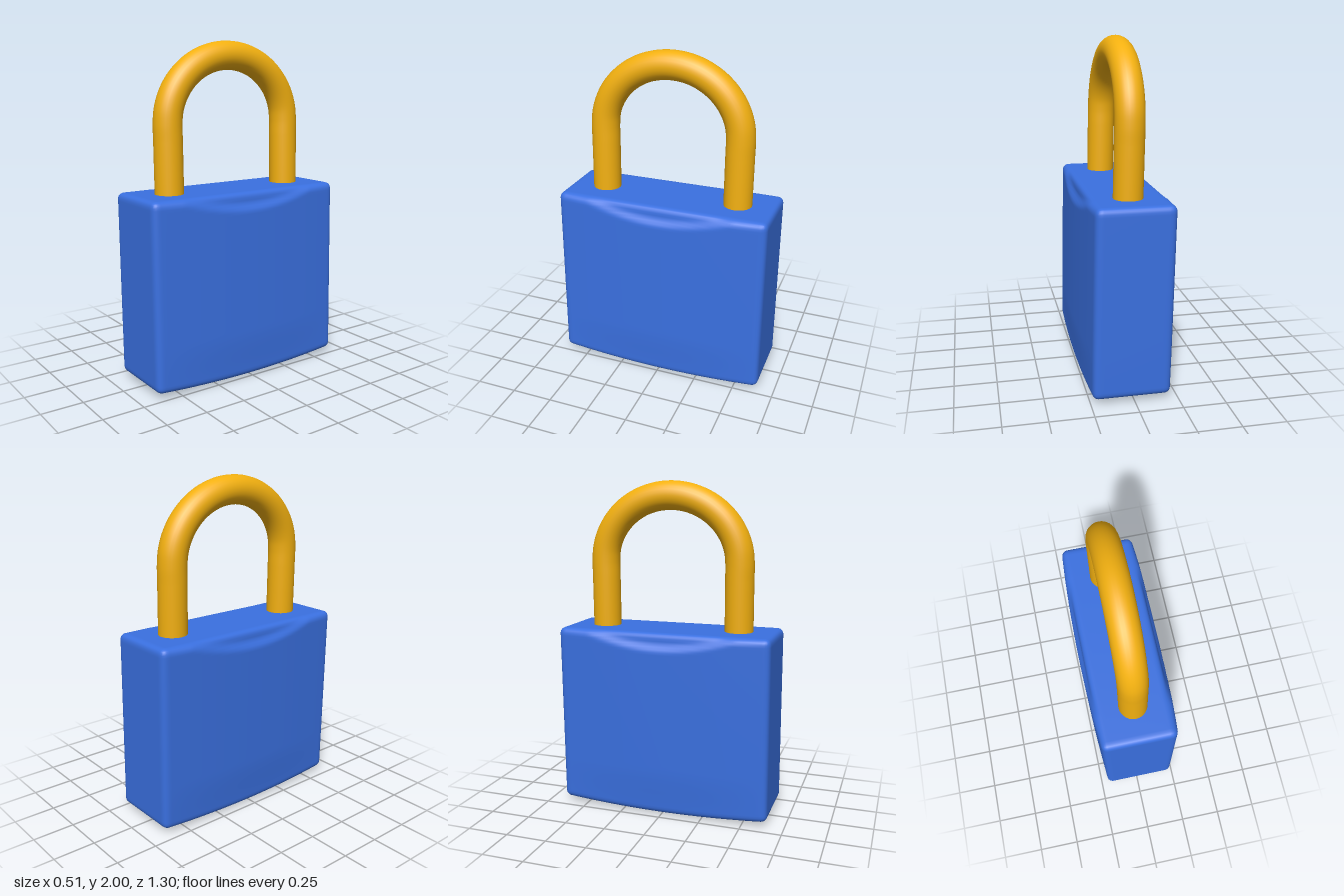
import * as THREE from 'three';
import { mergeVertices } from 'three/addons/utils/BufferGeometryUtils.js';

const BLUE = 0x3a70e0, GOLD = 0xf2b010;
const TOP = 1.13, BOTTOM = 0.01, HALF_W = 0.222, HALF_D = 0.65, R = 0.035;

// The whole lock leans very slightly towards -x as it rises
const lean = (y) => 0.018 - 0.02 * y;

function addMesh(group, name, geometry, color) {
  const mesh = new THREE.Mesh(geometry, new THREE.MeshStandardMaterial({ color }));
  mesh.name = name;
  group.add(mesh);
  return mesh;
}

// Rounded block with bulging broad sides, a scallop under the top edge and a bowed base
function bodyGeometry() {
  const halfH = (TOP - BOTTOM) / 2, midY = (TOP + BOTTOM) / 2;
  const half = new THREE.Vector3(HALF_W, halfH, HALF_D);
  const core = half.clone().subScalar(R);
  let geo = new THREE.BoxGeometry(HALF_W * 2, halfH * 2, HALF_D * 2, 30, 72, 80);
  geo.deleteAttribute('uv');
  geo.deleteAttribute('normal');
  geo = mergeVertices(geo);
  const pos = geo.attributes.position;
  const p = new THREE.Vector3(), inner = new THREE.Vector3();
  for (let i = 0; i < pos.count; i++) {
    p.fromBufferAttribute(pos, i);
    // round the edges
    inner.copy(p).clamp(core.clone().negate(), core);
    p.sub(inner).setLength(R).add(inner);
    p.y += midY;
    // bulge of the broad sides, ending at the scallop
    const t = p.z / HALF_D;
    const edge = TOP - 0.01 - 0.07 * Math.max(0, 1 - (p.z / 0.45) ** 2);
    const fade = 1 - THREE.MathUtils.smoothstep(p.y, edge - 0.03, edge + 0.025);
    const lowFade = 0.5 + 0.5 * THREE.MathUtils.smoothstep(p.y, 0, 0.3);
    p.x += (p.x / HALF_W) * 0.027 * (1 - t * t) * fade * lowFade;
    // bowed base
    p.y += 0.025 * t * t * Math.max(0, 1 - p.y / 0.4);
    p.x += lean(p.y);
    pos.setXYZ(i, p.x, p.y, p.z);
  }
  geo.computeVertexNormals();
  return geo;
}

// Straight legs joined by a half-elliptical arch
function shackleGeometry() {
  const points = [];
  const add = (y, z) => points.push(new THREE.Vector3(lean(y) + 0.003, y, z));
  const legX = 0.42, spring = 1.53, rise = 0.387;
  for (const y of [1.0, 1.15, 1.3, 1.43]) add(y, legX);
  for (let i = 0; i <= 16; i++) {
    const a = (i / 16) * Math.PI;
    add(spring + rise * Math.sin(a), legX * Math.cos(a));
  }
  for (const y of [1.43, 1.3, 1.15, 1.0]) add(y, -legX);
  return new THREE.TubeGeometry(new THREE.CatmullRomCurve3(points), 120, 0.085, 28, false);
}

export function createModel() {
  const group = new THREE.Group();
  group.name = 'padlock';
  addMesh(group, 'body', bodyGeometry(), BLUE);
  addMesh(group, 'shackle', shackleGeometry(), GOLD);

  // Key cylinder set in a thin rim under the base
  const plug = addMesh(group, 'keyCylinder', new THREE.CylinderGeometry(0.078, 0.078, 0.04, 32), GOLD);
  plug.position.set(lean(0), 0.024, 0);
  const rim = addMesh(group, 'keyCylinderRim', new THREE.TorusGeometry(0.084, 0.009, 10, 36), BLUE);
  rim.rotation.x = Math.PI / 2;
  rim.position.set(lean(0), 0.009, 0);
  return group;
}
